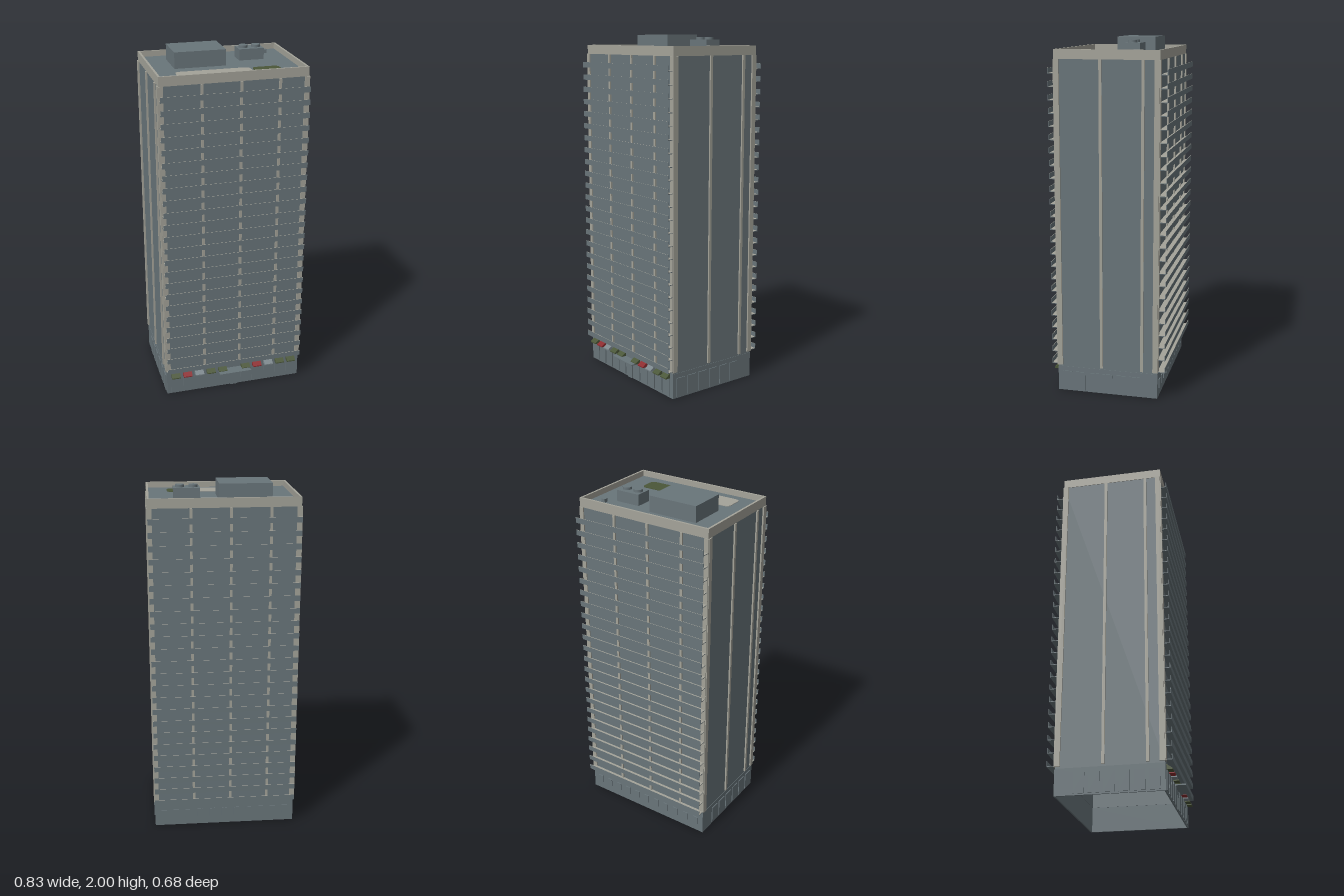
import * as THREE from 'three';

const mat = (name, color, side = THREE.FrontSide) => {
  const m = new THREE.MeshStandardMaterial({ color, side });
  m.name = name;
  return m;
};

export function createModel() {
  const slate = mat('slate', 0x69757a, THREE.DoubleSide);
  const pale = mat('paleConcrete', 0xa4a399);
  const green = mat('mossGreen', 0x4a5638);
  const red = mat('awningRed', 0x8c2b2f);
  const grey = mat('awningGrey', 0x7b868b);

  const tower = new THREE.Group();
  tower.name = 'tower';
  const X = 0.41, ZF = 0.28, ZB = -0.30, ZC = (ZF + ZB) / 2, ROOF = 1.91;

  const add = (name, geo, material, parent = tower) => {
    const m = new THREE.Mesh(geo, material);
    m.name = name;
    parent.add(m);
    return m;
  };
  // Box given by its extents on each axis
  const box = (name, x0, x1, y0, y1, z0, z1, material, parent) => {
    const m = add(name, new THREE.BoxGeometry(x1 - x0, y1 - y0, z1 - z0), material, parent);
    m.position.set((x0 + x1) / 2, (y0 + y1) / 2, (z0 + z1) / 2);
    return m;
  };
  const group = (name) => {
    const g = new THREE.Group();
    g.name = name;
    tower.add(g);
    return g;
  };
  // Rectangular ring of walls, open above and below
  const ring = (name, y0, y1, grow, t, material) => {
    const rect = (T, w, d) => new T([
      new THREE.Vector2(-w, -d), new THREE.Vector2(w, -d),
      new THREE.Vector2(w, d), new THREE.Vector2(-w, d)]);
    const w = X + grow, d = (ZF - ZB) / 2 + grow;
    const s = rect(THREE.Shape, w, d);
    s.holes.push(rect(THREE.Path, w - t, d - t));
    const geo = new THREE.ExtrudeGeometry(s, { depth: y1 - y0, bevelEnabled: false });
    geo.rotateX(-Math.PI / 2);
    add(name, geo, material).position.set(0, y0, ZC);
  };

  // Main shells and roof
  ring('baseWalls', 0, 0.145, 0, 0.008, slate);
  ring('towerWalls', 0.145, 1.89, -0.002, 0.008, slate);
  ring('parapet', 1.89, 1.942, 0.001, 0.012, pale);
  box('roofDeck', -X + 0.01, X - 0.01, ROOF - 0.015, ROOF, ZB + 0.01, ZF - 0.01, slate);

  // Vertical pilasters on all four faces
  const pilasters = group('pilasters');
  const Y0 = 0.155, Y1 = 1.89;
  for (const s of [1, -1]) {
    const zFace = s > 0 ? ZF : ZB;
    for (const x of [-0.18, 0.035, 0.25])
      box('facePilaster', s * x - 0.007, s * x + 0.007, Y0, Y1, zFace - 0.007, zFace + 0.007, pale, pilasters);
    for (const dz of [0.033, -0.2]) {
      const z = ZC + s * dz;
      box('sidePilaster', s * X - 0.007, s * X + 0.007, Y0, Y1, z - 0.008, z + 0.008, pale, pilasters);
    }
    // Corner strips
    for (const e of [1, -1]) {
      const x = e * (X - 0.01);
      box('cornerFacePilaster', x - 0.013, x + 0.013, Y0, Y1, zFace - 0.005, zFace + 0.005, pale, pilasters);
      const z = zFace - s * 0.014;
      box('cornerSidePilaster', e * X - 0.007, e * X + 0.007, Y0, Y1, z - 0.014, z + 0.014, pale, pilasters);
    }
  }

  // Balconies: pale-topped slab with a solid rail, on front and back
  const balconies = group('balconies');
  const slabMats = [slate, slate, pale, slate, slate, slate];
  for (let i = 0; i < 24; i++) {
    const y = 0.162 + i * 0.0719;
    box('frontSlab', -X, X, y - 0.004, y, ZF, 0.316, slabMats, balconies);
    box('frontRail', -X, X, y, y + 0.027, 0.313, 0.316, [slate, slate, pale, slate, slate, slate], balconies);
    box('backSlab', -X, X, y - 0.004, y, -0.343, ZB, slabMats, balconies);
    box('backRail', -X, X, y, y + 0.027, -0.343, -0.340, [slate, slate, pale, slate, slate, slate], balconies);
  }

  // Street level: shopfronts, awnings, door and canopy
  const shops = group('shopfronts');
  const awningShape = new THREE.Shape([
    new THREE.Vector2(0, 0), new THREE.Vector2(0.032, 0),
    new THREE.Vector2(0.032, 0.006), new THREE.Vector2(0, 0.028)]);
  const awningGeo = new THREE.ExtrudeGeometry(awningShape, { depth: 0.052, bevelEnabled: false });
  awningGeo.translate(0, 0, -0.026);
  awningGeo.rotateY(-Math.PI / 2);
  const colours = [green, red, grey, green, green, null, green, red, grey, green, green];
  colours.forEach((c, i) => {
    const x = (i - 5) * 0.0717;
    if (c) {
      box('shopWindow', x - 0.026, x + 0.026, 0.008, 0.115, ZF, ZF + 0.005, slate, shops);
      add('awning', awningGeo, c, shops).position.set(x, 0.116, ZF);
    } else {
      box('door', x - 0.022, x + 0.022, 0, 0.08, ZF, ZF + 0.006, slate, shops);
    }
    // Small service windows at the back
    box('backWindow', x - 0.016, x + 0.016, 0.05, 0.1, ZB - 0.005, ZB, slate, shops);
  });
  box('entranceCanopy', -0.098, 0.095, 0.112, 0.119, ZF, 0.34, slate, shops);
  for (const s of [1, -1])
    for (let i = 0; i < 6; i++) {
      const z = 0.226 - i * 0.079;
      box('sideWindow', s * X - 0.005, s * X + 0.005, 0.008, 0.118, z - 0.029, z + 0.029, slate, shops);
    }

  // Rooftop plant
  const plant = group('rooftopPlant');
  box('liftHouse', -0.268, 0.022, ROOF, 2.0, -0.197, 0.022, slate, plant);
  box('coolingUnit', 0.122, 0.265, ROOF, 1.973, -0.16, -0.064, slate, plant);
  for (const x of [0.157, 0.23])
    add('coolingFan', new THREE.CylinderGeometry(0.025, 0.025, 0.014, 20), slate, plant)
      .position.set(x, 1.98, -0.112);
  box('roofVent', 0.303, 0.326, ROOF, ROOF + 0.02, -0.221, -0.197, slate, plant);

  // Thin rounded patches on the roof: paved terrace and planting
  const patch = (name, x0, x1, z0, z1, r, material) => {
    const s = new THREE.Shape();
    s.moveTo(x0 + r, -z1);
    s.lineTo(x1 - r, -z1);
    s.quadraticCurveTo(x1, -z1, x1, -z1 + r);
    s.lineTo(x1, -z0 - r);
    s.quadraticCurveTo(x1, -z0, x1 - r, -z0);
    s.lineTo(x0 + r, -z0);
    s.quadraticCurveTo(x0, -z0, x0, -z0 - r);
    s.lineTo(x0, -z1 + r);
    s.quadraticCurveTo(x0, -z1, x0 + r, -z1);
    const geo = new THREE.ExtrudeGeometry(s, { depth: 0.003, bevelEnabled: false, curveSegments: 5 });
    geo.rotateX(-Math.PI / 2);
    add(name, geo, material, plant).position.y = ROOF;
  };
  patch('roofTerrace', -0.285, 0.13, 0.098, 0.22, 0.03, pale);
  patch('roofPlanting', 0.142, 0.292, 0.105, 0.211, 0.03, green);

  return tower;
}
